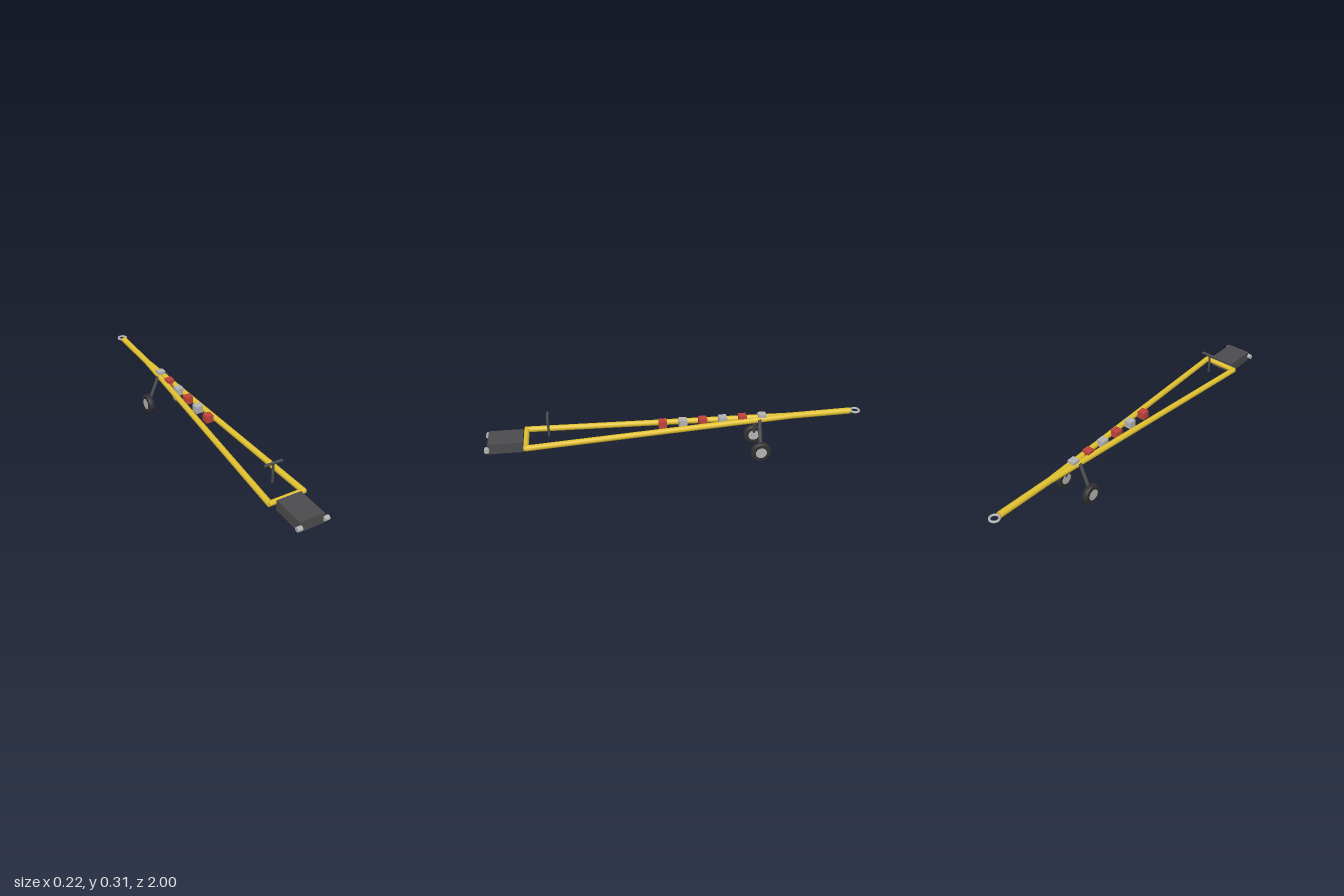
import * as THREE from 'three';

const paint = (color) => new THREE.MeshStandardMaterial({ color });
const yellow = paint(0xe0c030), dark = paint(0x4c4c4e), rubber = paint(0x303032);
const red = paint(0xc0453c), steel = paint(0xb4b4b4);

export function createModel() {
  const group = new THREE.Group();
  const add = (name, geometry, material, x = 0, y = 0, z = 0) => {
    const mesh = new THREE.Mesh(geometry, material);
    mesh.name = name;
    mesh.position.set(x, y, z);
    group.add(mesh);
    return mesh;
  };
  // round bar between two points
  const bar = (name, a, b, radius, material) => {
    const from = new THREE.Vector3(...a), to = new THREE.Vector3(...b);
    const dir = to.clone().sub(from);
    const mesh = add(name, new THREE.CylinderGeometry(radius, radius, dir.length(), 24), material);
    mesh.position.copy(from).add(to).multiplyScalar(0.5);
    mesh.quaternion.setFromUnitVectors(new THREE.Vector3(0, 1, 0), dir.normalize());
    return mesh;
  };

  // A-frame, draw tube and towing eye
  bar('drawTube', [0, 0.209, -0.6], [0, 0.216, -0.94], 0.017, yellow);
  bar('crossTube', [-0.1, 0.181, 0.787], [0.1, 0.181, 0.787], 0.014, yellow);
  const eye = add('towEye', new THREE.TorusGeometry(0.0235, 0.006, 12, 32), steel, 0, 0.216, -0.968);
  eye.rotation.x = Math.PI / 2;

  // coupling head
  add('couplingHead', new THREE.BoxGeometry(0.134, 0.057, 0.178), dark, 0, 0.1715, 0.891);

  // steering handle
  bar('handleStem', [0, 0.188, 0.67], [0, 0.298, 0.67], 0.006, dark);
  bar('handleGrip', [-0.05, 0.298, 0.67], [0.05, 0.298, 0.67], 0.007, dark);

  // alternating marker blocks along the frame
  for (let i = 0; i < 6; i++) {
    add('markerBlock', new THREE.BoxGeometry(0.041, 0.04, 0.042), i % 2 ? steel : red,
      0, 0.2145, 0.077 - i * 0.1065);
  }

  // tyre cross-section with rounded shoulders
  const profile = [new THREE.Vector2(0.028, -0.0165)];
  for (const s of [-1, 1]) {
    for (let i = 0; i <= 6; i++) {
      const t = (s < 0 ? i - 6 : i) * Math.PI / 12;
      profile.push(new THREE.Vector2(0.0445 + 0.0105 * Math.cos(t), s * 0.006 + 0.0105 * Math.sin(t)));
    }
  }
  profile.push(new THREE.Vector2(0.028, 0.0165));
  const tyre = new THREE.LatheGeometry(profile, 40).rotateZ(Math.PI / 2);
  const hub = new THREE.CylinderGeometry(0.03, 0.03, 0.0345, 32).rotateZ(Math.PI / 2);

  // mirrored parts
  for (const s of [-1, 1]) {
    bar('sideTube', [s * 0.094, 0.18, 0.79], [s * 0.003, 0.209, -0.61], 0.0155, yellow);
    bar('headPin', [s * 0.061, 0.172, 0.985], [s * 0.086, 0.172, 0.985], 0.013, steel);
    bar('wheelLeg', [s * 0.026, 0.213, -0.437], [s * 0.091, 0.056, -0.437], 0.0095, dark);
    add('tyre', tyre, rubber, s * 0.0935, 0.055, -0.437);
    add('hub', hub, steel, s * 0.0935, 0.055, -0.437);
  }
  return group;
}
